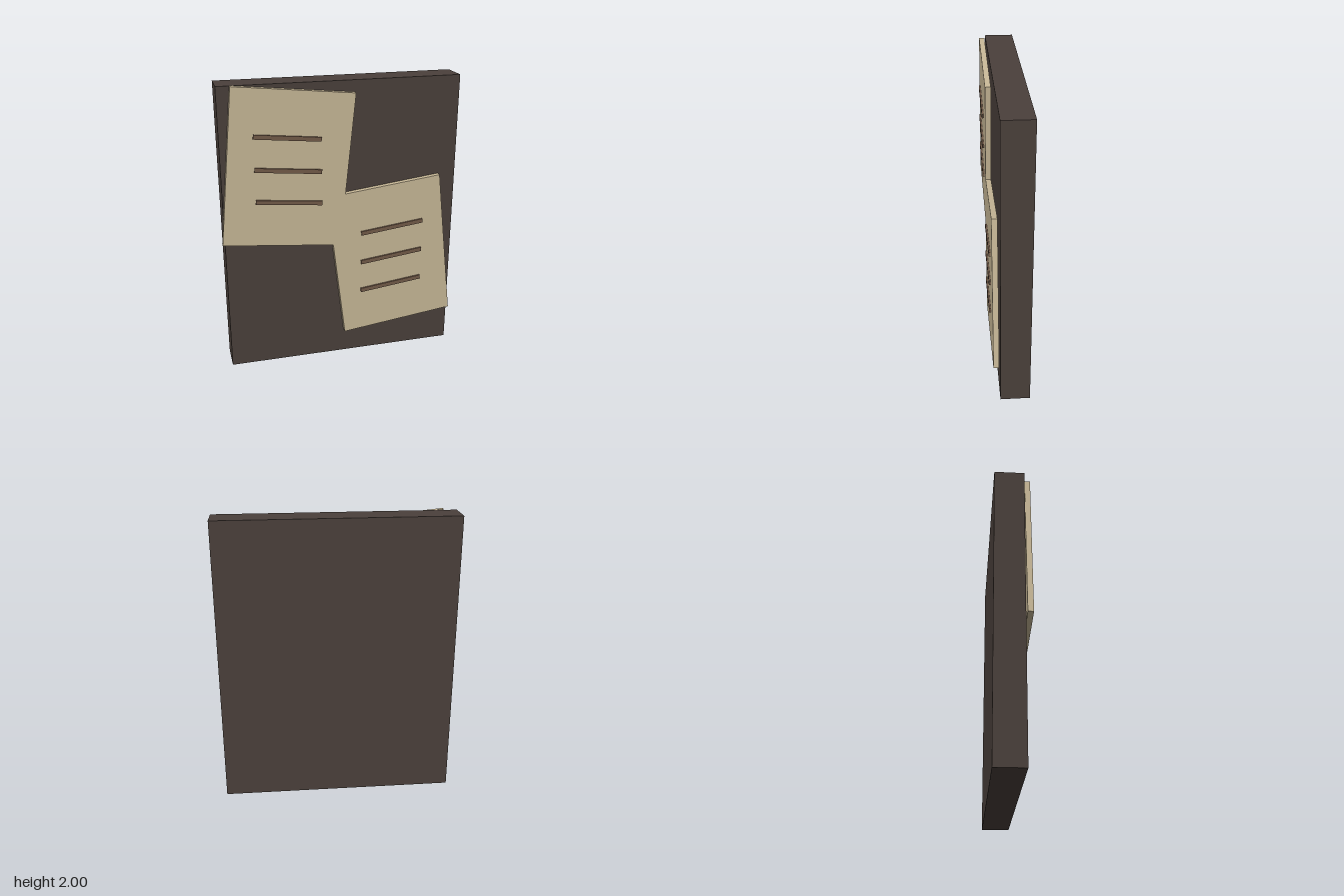
import * as THREE from 'three';

const mat = (color) => new THREE.MeshStandardMaterial({ color });

function box(name, w, h, d, x, y, z, material, tilt = 0) {
  const mesh = new THREE.Mesh(new THREE.BoxGeometry(w, h, d), material);
  mesh.name = name;
  mesh.position.set(x, y, z);
  mesh.rotation.z = tilt;
  return mesh;
}

export function createModel() {
  const group = new THREE.Group();
  group.name = 'noticeBoard';
  const boardMat = mat(0x4a403b);
  const paperMat = mat(0xc8b897);
  const inkMat = mat(0x735b49);

  // Thick backing board
  group.add(box('board', 1.615, 1.995, 0.197, 0.007, 0.9975, -0.0285, boardMat));

  // A tilted sheet with three raised lines of writing
  function addSheet(name, x, y, tilt) {
    const sheet = new THREE.Group();
    sheet.name = name;
    sheet.add(box('paper', 0.804, 1.053, 0.037, x, y, 0.0965, paperMat, tilt));
    for (const dy of [0.219, 0, -0.219]) {
      sheet.add(box('writingLine', 0.445, 0.029, 0.012, x, y + dy, 0.121, inkMat, tilt));
    }
    group.add(sheet);
  }
  addSheet('upperSheet', -0.367, 1.435, -0.1);
  addSheet('lowerSheet', 0.352, 0.75, 0.12);

  return group;
}
